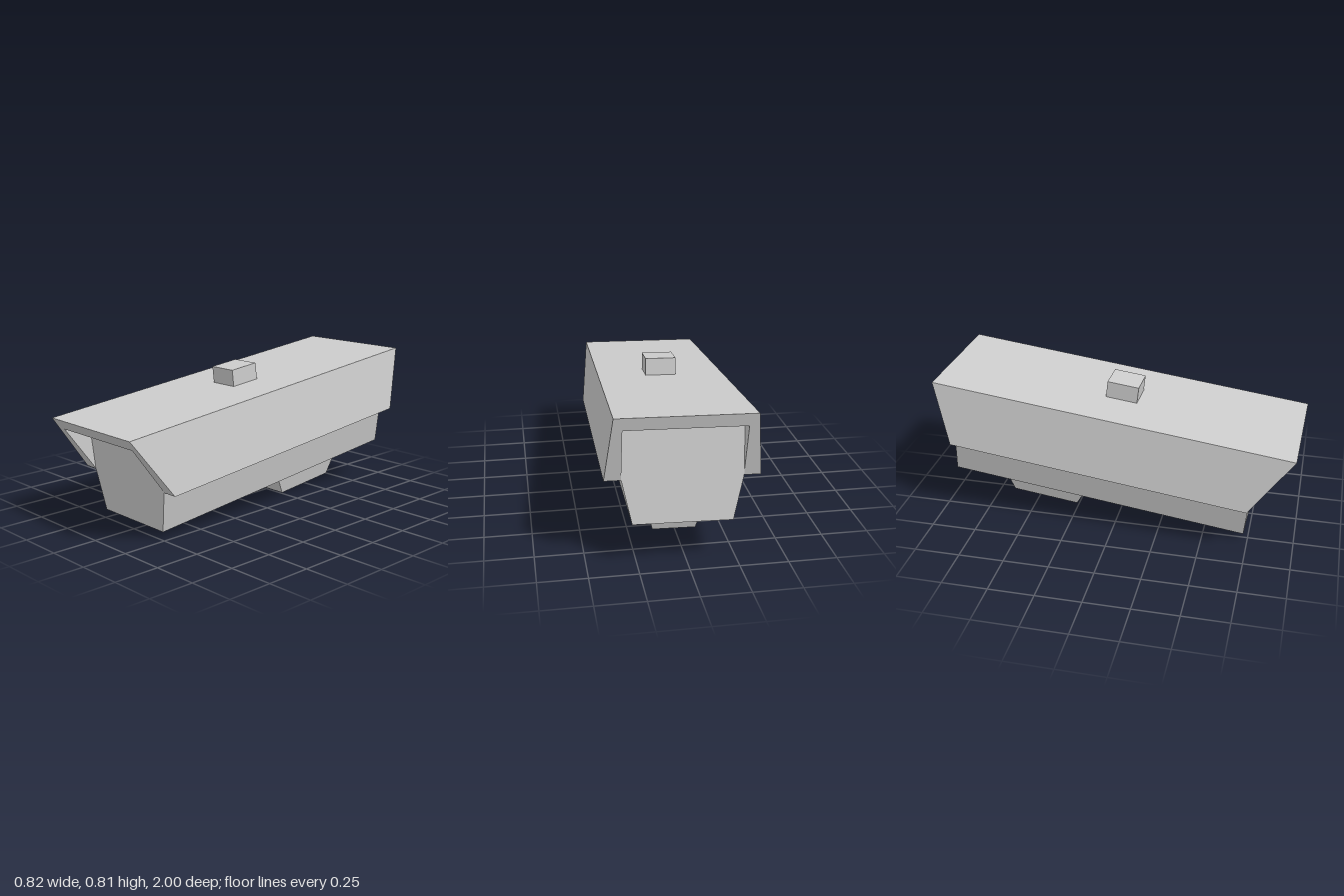
import * as THREE from 'three';

const grey = new THREE.MeshStandardMaterial({ color: 0xcccccc });
grey.name = 'lightGrey';

// Prism along z from an x-y outline; each end may be slanted as a function of y
function prism(name, outline, front, back) {
  const shape = new THREE.Shape(outline.map(([x, y]) => new THREE.Vector2(x, y)));
  const geo = new THREE.ExtrudeGeometry(shape, { depth: 1, bevelEnabled: false });
  const p = geo.attributes.position;
  for (let i = 0; i < p.count; i++) {
    const y = p.getY(i);
    p.setZ(i, p.getZ(i) > 0.5 ? front(y) : back(y));
  }
  geo.computeVertexNormals();
  const mesh = new THREE.Mesh(geo, grey);
  mesh.name = name;
  return mesh;
}

// Adds the mirrored half to a right-hand outline listed from bottom to top
const mirror = (half) => [...half, ...half.slice().reverse().map(([x, y]) => [-x, y])];

export function createModel() {
  const model = new THREE.Group();
  model.name = 'securityCamera';

  // Tilted head, with its origin at the middle of the hood's top
  const head = new THREE.Group();
  head.name = 'cameraHead';
  head.position.set(-0.006, 0.698, 0);
  head.rotation.set(0.1143, -0.0275, 0.009, 'YXZ');
  model.add(head);

  // Hood: a channel with flared sides and overhanging, slanted ends
  head.add(prism('hood',
    [[0.30, -0.34], [0.385, -0.34], [0.3435, 0], [-0.3435, 0], [-0.385, -0.34], [-0.30, -0.34], [-0.30, -0.066], [0.30, -0.066]],
    (y) => 0.997 + 0.579 * y,
    (y) => -0.997 - 0.379 * y));

  // Body: six-sided section tapering below the hood
  head.add(prism('body',
    mirror([[0.25, -0.567], [0.30, -0.34], [0.30, -0.066]]),
    () => 0.803, () => -0.874));

  // Small block on top
  head.add(prism('topBlock',
    mirror([[0.083, -0.01], [0.083, 0.093]]),
    () => 0.09, () => -0.086));

  // Tapered mounting foot underneath
  head.add(prism('mountFoot',
    mirror([[0.1135, -0.717], [0.15, -0.567]]),
    (y) => -0.18 + 0.43 * (y + 0.717),
    (y) => -0.562 - 0.44 * (y + 0.717)));

  return model;
}
